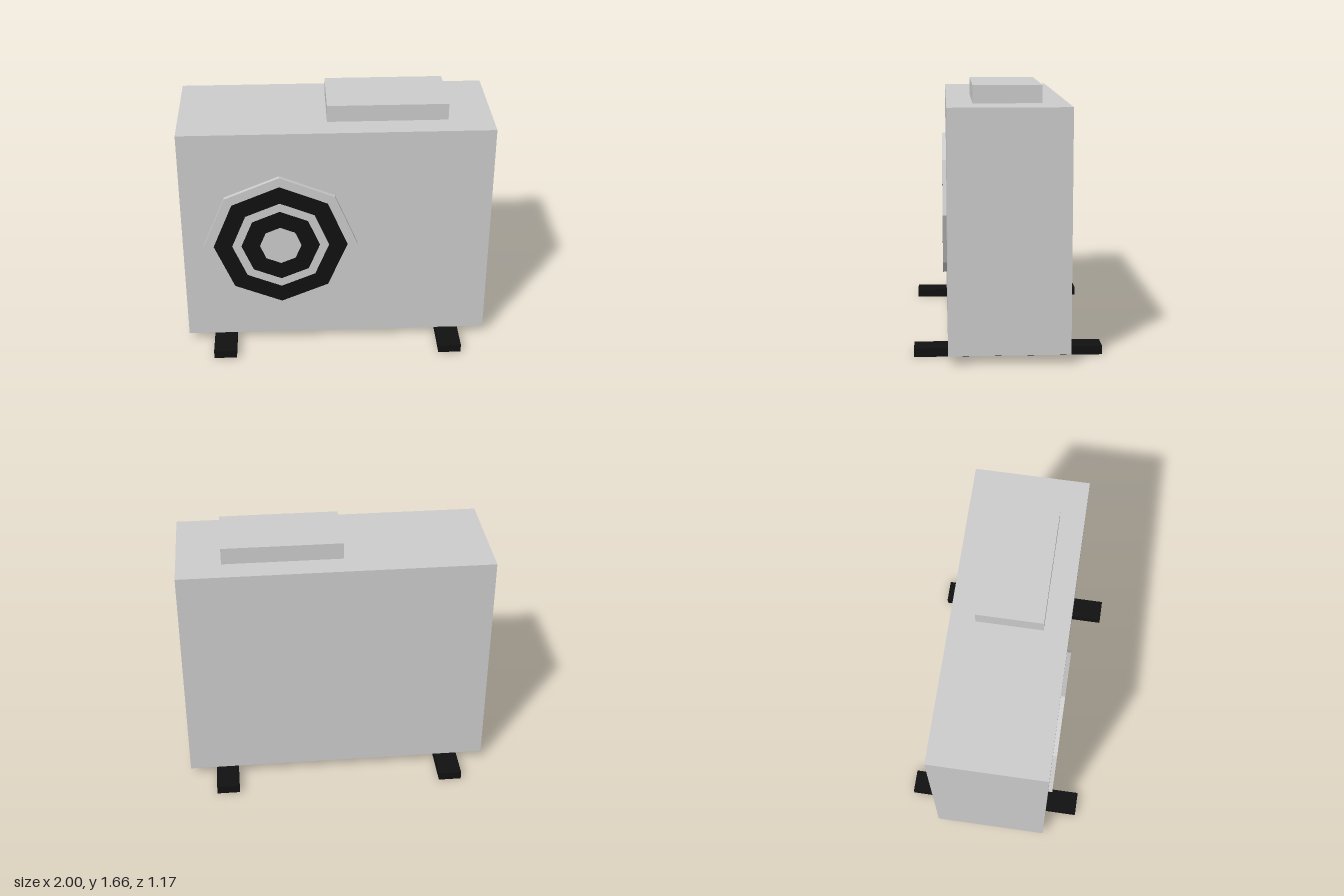
import * as THREE from 'three';

const grey = new THREE.MeshStandardMaterial({ color: 0xcccccc, flatShading: true });
const black = new THREE.MeshStandardMaterial({ color: 0x111111, flatShading: true });

function add(parent, name, geometry, material, x, y, z) {
  const mesh = new THREE.Mesh(geometry, material);
  mesh.name = name;
  mesh.position.set(x, y, z);
  parent.add(mesh);
  return mesh;
}

export function createModel() {
  const model = new THREE.Group();
  model.name = 'outdoorUnit';

  // Cabinet and the raised box on its lid
  add(model, 'cabinet', new THREE.BoxGeometry(2, 1.5, 0.746), grey, 0, 0.805, 0);
  add(model, 'topBox', new THREE.BoxGeometry(0.77, 0.11, 0.426), grey, 0.33, 1.61, 0);

  // Mounting rails running front to back
  for (const side of [-1, 1]) {
    add(model, side > 0 ? 'leftRail' : 'rightRail',
      new THREE.BoxGeometry(0.15, 0.055, 1.166), black, side * 0.75, 0.0275, 0);
  }

  // Octagonal fan guard: open side wall, faced with flush concentric rings
  const fan = new THREE.Group();
  fan.name = 'fanGuard';
  fan.position.set(-0.365, 0.76, 0.373);
  model.add(fan);
  const depth = 0.027;
  const rim = new THREE.CylinderGeometry(0.5, 0.5, depth, 8, 1, true).rotateX(Math.PI / 2);
  add(fan, 'guardRim', rim, grey, 0, 0, depth / 2);

  const radii = [0.5, 0.435, 0.315, 0.255, 0.135];
  for (let i = 0; i < radii.length - 1; i++) {
    const dark = i % 2 === 1;
    add(fan, dark ? 'grilleSlot' : 'grilleRing',
      new THREE.RingGeometry(radii[i + 1], radii[i], 8), dark ? black : grey, 0, 0, depth);
  }
  add(fan, 'grilleHub', new THREE.CircleGeometry(0.135, 8), grey, 0, 0, depth);

  return model;
}
